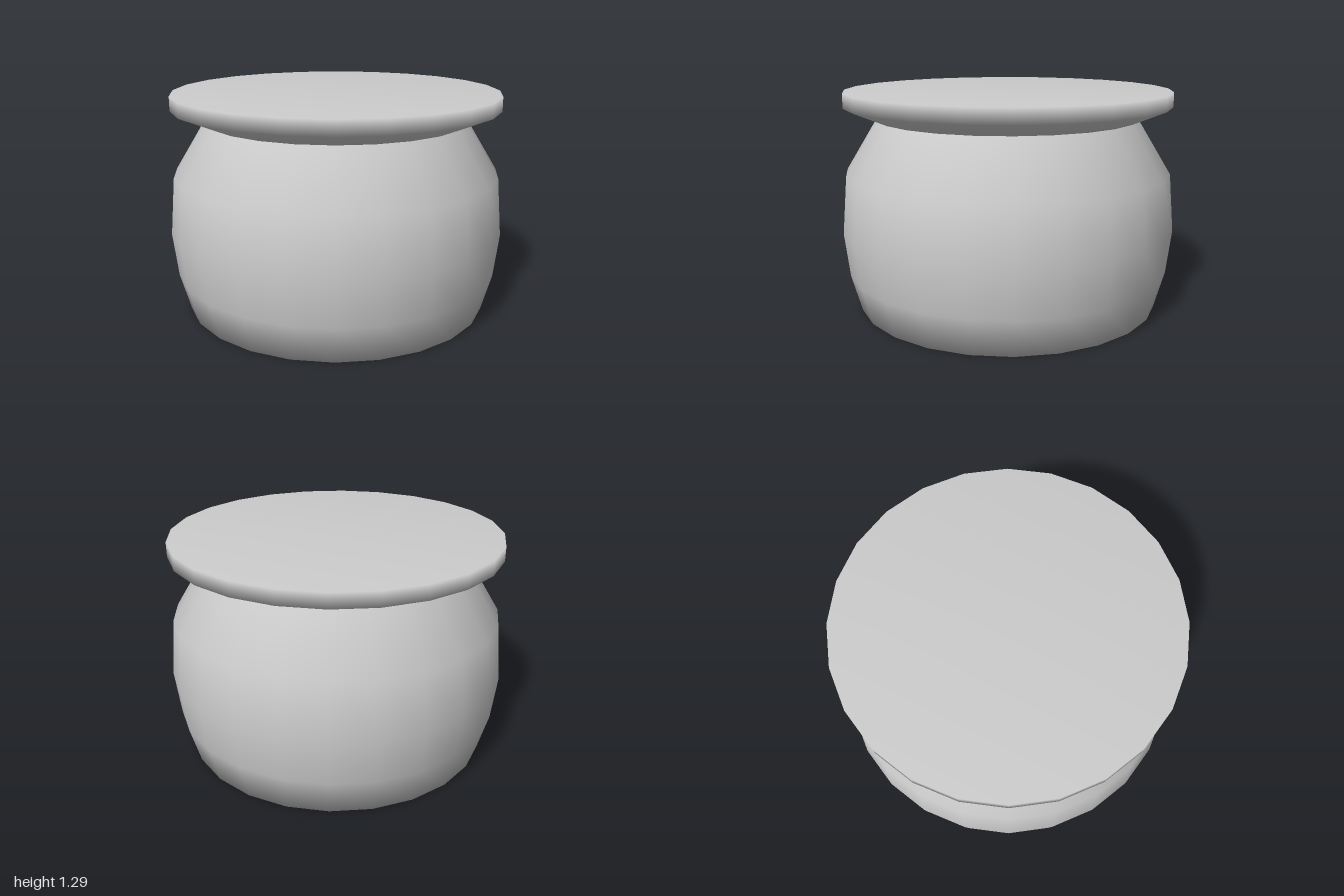
import * as THREE from 'three';

const SIDES = 24;

// Smooth turned part from a bottom-to-top profile of [radius, height] pairs
function turned(name, profile, material) {
  const points = profile.map(([r, y]) => new THREE.Vector2(r, y));
  const mesh = new THREE.Mesh(new THREE.LatheGeometry(points, SIDES), material);
  mesh.name = name;
  return mesh;
}

export function createModel() {
  const group = new THREE.Group();
  group.name = 'pot';
  const material = new THREE.MeshStandardMaterial({ color: 0xcccccc, side: THREE.DoubleSide });

  // Bulging body with a flat base, open under the lid
  group.add(turned('body', [
    [0, 0], [0.91, 0], [0.97, 0.22], [1, 0.48], [0.97, 0.82], [0.78, 1.13],
  ], material));

  // Flared lid with a short upright rim and a flat top
  group.add(turned('lid', [
    [0.78, 1.13], [0.97, 1.21], [0.97, 1.295], [0, 1.295],
  ], material));

  return group;
}
